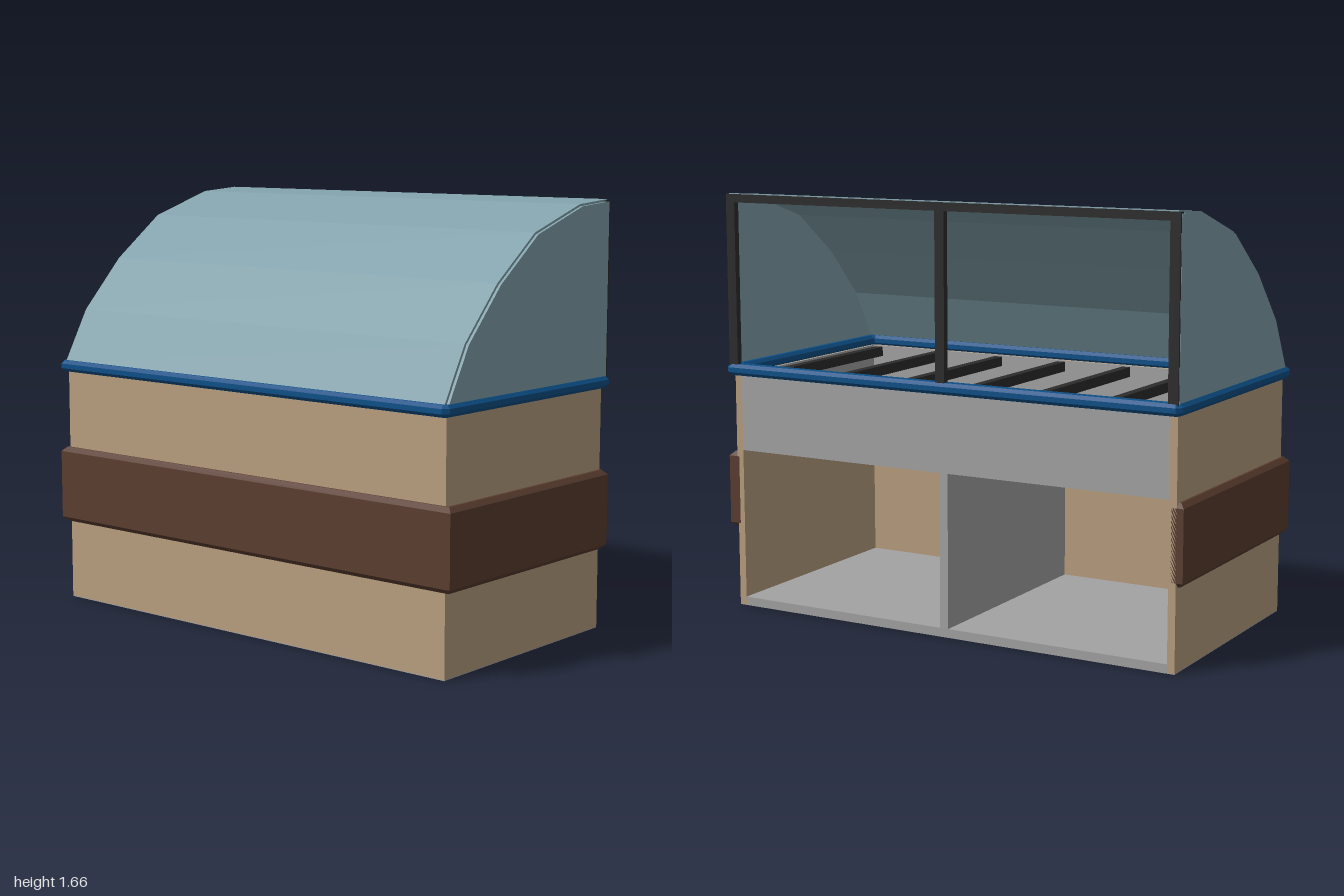
import * as THREE from 'three';

const mat = (name, color) => {
  const m = new THREE.MeshStandardMaterial({ color });
  m.name = name;
  return m;
};

export function createModel() {
  const wood = mat('tan wood', 0xb99f80);
  const brown = mat('dark brown', 0x5a3d30);
  const blue = mat('blue trim', 0x0d5088);
  const gray = mat('gray metal', 0xa3a3a4);
  const black = mat('black metal', 0x2c2c2c);
  const glass = mat('tinted glass', 0x82a2ac);

  const model = new THREE.Group();
  model.name = 'displayCounter';
  const CX = -0.006, HX = 0.967, HZ = 0.49, T = 0.03;
  const IX = HX - T, IZ = HZ - T;

  const add = (name, geo, material) => {
    const mesh = new THREE.Mesh(geo, material);
    mesh.name = name;
    model.add(mesh);
    return mesh;
  };
  // Box from its limits, x measured from the cabinet centre
  const box = (name, material, x0, x1, y0, y1, z0, z1) => {
    const g = new THREE.BoxGeometry(x1 - x0, y1 - y0, z1 - z0);
    g.translate(CX + (x0 + x1) / 2, (y0 + y1) / 2, (z0 + z1) / 2);
    return add(name, g, material);
  };
  const poly = (pts) => pts.map(([a, b]) => new THREE.Vector2(a, b));
  // Plan outline (x, z) extruded upward with chamfered edges
  const planSlab = (name, material, shape, y0, y1, bevel, cx) => {
    const g = new THREE.ExtrudeGeometry(shape, {
      depth: y1 - y0 - 2 * bevel, bevelEnabled: true, bevelSegments: 1,
      bevelSize: bevel, bevelThickness: bevel, bevelOffset: -bevel,
    });
    g.rotateX(Math.PI / 2).translate(cx, y1 - bevel, 0);
    return add(name, g, material);
  };
  // Side outline (z, y) extruded along x
  const sideSlab = (name, material, pts, x0, x1) => {
    const g = new THREE.ExtrudeGeometry(new THREE.Shape(poly(pts)), { depth: x1 - x0, bevelEnabled: false });
    g.rotateY(-Math.PI / 2).translate(CX + x1, 0, 0);
    return add(name, g, material);
  };

  // Wooden shell, open at the back
  box('frontPanel', wood, -HX, HX, 0.003, 0.95, IZ, HZ);
  for (const s of [-1, 1]) {
    const [a, b] = [s * IX, s * HX].sort((p, q) => p - q);
    box('sidePanel', wood, a, b, 0.003, 0.95, -HZ, IZ);
    // Gray lining of the display well
    const [c, d] = [s * (IX - 0.008), s * IX].sort((p, q) => p - q);
    box('wellSideLiner', gray, c, d, 0.66, 0.95, -IZ, IZ);
  }
  box('wellFrontLiner', gray, -IX, IX, 0.66, 0.95, IZ - 0.008, IZ);

  // Inner cabinet
  box('basePlate', gray, -HX, HX, 0, 0.003, -HZ, HZ);
  box('cabinetFloor', gray, -IX, IX, 0.003, 0.035, -HZ, IZ);
  box('divider', gray, -0.018, 0.018, 0.035, 0.64, -HZ, IZ);
  box('wellFloor', gray, -IX, IX, 0.64, 0.67, -IZ, IZ);
  box('backApron', gray, -IX, IX, 0.64, 0.95, -HZ, -IZ);

  // Support bars across the well
  for (let i = -3; i <= 3; i++) {
    box('supportBar', black, i * 0.3 - 0.018, i * 0.3 + 0.018, 0.905, 0.945, -IZ, IZ - 0.008);
  }

  // Chamfered band around the front and both sides
  const bx = 1.0, bz = 0.515, ix = 0.952, iz = 0.47;
  planSlab('bumperBand', brown, new THREE.Shape(poly([
    [-bx, -HZ], [-ix, -HZ], [-ix, iz], [ix, iz], [ix, -HZ], [bx, -HZ], [bx, bz], [-bx, bz],
  ])), 0.32, 0.63, 0.018, 0);

  // Blue rim around the counter top
  const octagon = (x, z, c) => poly([
    [-x + c, -z], [x - c, -z], [x, -z + c], [x, z - c], [x - c, z], [-x + c, z], [-x, z - c], [-x, -z + c],
  ]);
  const rim = new THREE.Shape(octagon(0.992, 0.525, 0.02));
  rim.holes.push(new THREE.Path(octagon(0.935, 0.465, 0.005).reverse()));
  planSlab('topRim', blue, rim, 0.945, 0.99, 0.013, CX);

  // Faceted glass hood: a bent sheet with two end panes
  const profile = [[0.51, 0.975], [0.39, 1.19], [0.2, 1.39], [-0.03, 1.56], [-0.32, 1.652], [-0.505, 1.665]];
  const inset = (k) => profile.map(([z, y]) => [-0.505 + (z + 0.505) * k, 0.975 + (y - 0.975) * k]);
  sideSlab('hoodGlass', glass, [...profile, ...inset(0.982).reverse()], -HX, HX);
  const pane = [[-0.505, 0.975], ...inset(0.988)];
  sideSlab('endGlass', glass, pane, HX - 0.002, HX + 0.011);
  sideSlab('endGlass', glass, pane, -HX - 0.011, -HX + 0.002);

  // Black frame of the open back
  const fz0 = -0.513, fz1 = -0.488;
  for (const x of [-0.957, 0, 0.957]) {
    box('backPost', black, x - 0.02, x + 0.02, 0.975, 1.645, fz0, fz1);
  }
  box('backTopRail', black, -0.977, 0.977, 1.63, 1.662, fz0, fz1);

  return model;
}
